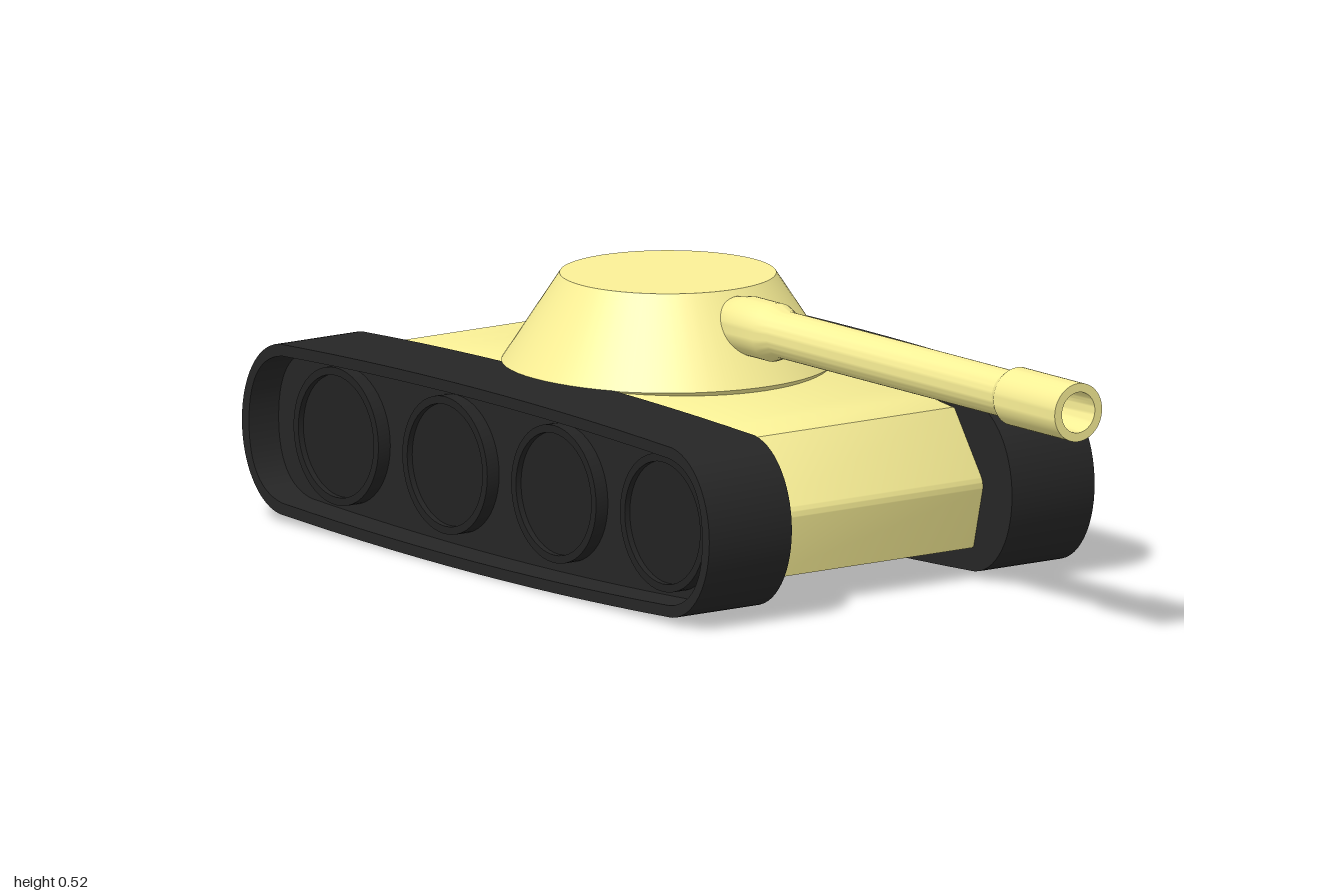
import * as THREE from 'three';
import { toCreasedNormals } from 'three/addons/utils/BufferGeometryUtils.js';

const khaki = new THREE.MeshStandardMaterial({ color: 0xfaf096 });
const rubber = new THREE.MeshStandardMaterial({ color: 0x262626 });
const steel = new THREE.MeshStandardMaterial({ color: 0x232323 });

const v2 = (list) => list.map(([a, b]) => new THREE.Vector2(a, b));

function part(name, geometry, material, parent) {
  const mesh = new THREE.Mesh(toCreasedNormals(geometry, 0.5), material);
  mesh.name = name;
  parent.add(mesh);
  return mesh;
}

// Lathe from [radius, height] pairs, listed from the bottom upwards on the outside
const lathe = (profile, segments = 48) => new THREE.LatheGeometry(v2(profile), segments);

const extrude = (shape, depth) =>
  new THREE.ExtrudeGeometry(shape, { depth, bevelEnabled: false, curveSegments: 14 });

// Track outline, shrunk evenly by an inset; long runs bulge slightly
function trackOutline(inset, Type = THREE.Shape) {
  const w = 0.726 - inset, h = 0.177 - inset, a = 0.61 - inset * 0.4, e = h - 0.014;
  const s = new Type();
  s.moveTo(-a, -e);
  s.quadraticCurveTo(0, -h - 0.016, a, -e);
  s.bezierCurveTo(a + 0.07, -e + 0.01, w, -0.08, w, 0);
  s.bezierCurveTo(w, 0.08, a + 0.07, e - 0.01, a, e);
  s.quadraticCurveTo(0, h + 0.016, -a, e);
  s.bezierCurveTo(-a - 0.07, e - 0.01, -w, 0.08, -w, 0);
  s.bezierCurveTo(-w, -0.08, -a - 0.07, -e + 0.01, -a, -e);
  return s;
}

// One track unit with its outer side facing +z
function createTrack(name) {
  const track = new THREE.Group();
  track.name = name;
  const band = trackOutline(0);
  band.holes.push(trackOutline(0.022, THREE.Path));
  part('trackBand', extrude(band, 0.195), rubber, track);
  part('trackSidePlate', extrude(trackOutline(0.022), 0.125), rubber, track);
  return track;
}

// Four rimmed road wheels on the outer side of a track
function addWheels(track, side) {
  for (let i = 0; i < 4; i++) {
    const wheel = part('roadWheel', lathe([
      [0.132, 0], [0.132, 0.028], [0.117, 0.028], [0.117, 0.016], [0, 0.016],
    ]), steel, track);
    wheel.rotation.x = Math.PI / 2;
    wheel.position.set((i - 1.5) * 0.338 + side * 0.018, 0, 0.125);
  }
}

export function createModel() {
  const tank = new THREE.Group();
  tank.name = 'tank';

  // Hull with a wedge-shaped nose, a gently crowned deck and softened side edges
  const side = new THREE.Shape();
  side.moveTo(-0.85, 0.062);
  side.lineTo(0.335, 0.062);
  side.lineTo(0.363, 0.175);
  side.quadraticCurveTo(0.367, 0.19, 0.357, 0.205);
  side.lineTo(0.275, 0.322);
  side.quadraticCurveTo(-0.28, 0.39, -0.85, 0.322);
  side.closePath();
  const hull = new THREE.ExtrudeGeometry(side, {
    depth: 0.51, curveSegments: 14, bevelSegments: 2,
    bevelThickness: 0.006, bevelSize: 0.006, bevelOffset: -0.006,
  });
  part('hull', hull, khaki, tank).position.z = -0.255;

  // Conical turret, its foot sunk into the deck
  const turret = part('turret', lathe([
    [0, 0.34], [0.3, 0.34], [0.314, 0.355], [0.204, 0.523], [0, 0.523],
  ], 64), khaki, tank);
  turret.position.x = -0.275;

  // Gun with a thick root sleeve, a muzzle collar and an open bore
  const gun = part('gun', lathe([
    [0, -0.085], [0.035, -0.08], [0.05, -0.06], [0.056, -0.02], [0.056, 0.06], [0.045, 0.09],
    [0.045, 0.79], [0.056, 0.81], [0.056, 1], [0.039, 1], [0.036, 0.85], [0, 0.85],
  ]), khaki, tank);
  gun.rotation.z = -Math.PI / 2;
  gun.position.y = 0.462;

  // Flared exhaust pipes at the rear
  for (const s of [1, -1]) {
    const exhaust = part('exhaustPipe', lathe([
      [0, -0.01], [0.05, -0.01], [0.075, 0.13], [0.06, 0.13], [0.042, 0.01], [0, 0.01],
    ], 32), rubber, tank);
    exhaust.rotation.z = Math.PI / 2;
    exhaust.position.set(-0.845, 0.185, s * 0.135);
  }

  // Tracks on both sides
  for (const s of [1, -1]) {
    const track = createTrack(s > 0 ? 'frontTrack' : 'backTrack');
    addWheels(track, s);
    track.position.set(-0.274, 0.179, s * 0.26);
    if (s < 0) track.rotation.y = Math.PI;
    tank.add(track);
  }
  return tank;
}
